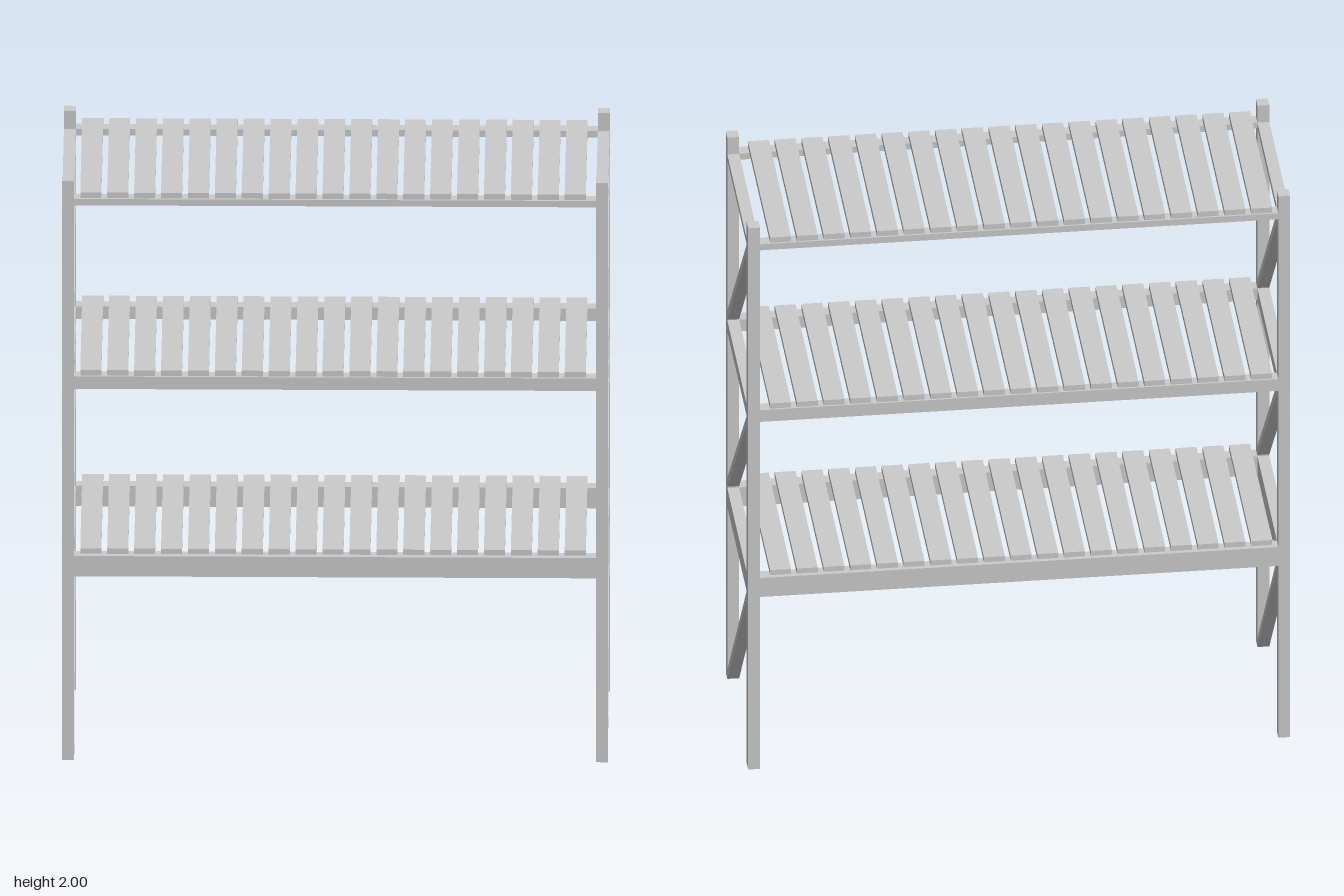
import * as THREE from 'three';

export function createModel() {
  const group = new THREE.Group();
  const material = new THREE.MeshStandardMaterial({ color: 0xcccccc, flatShading: true });
  const W = 0.867, D = 0.305;       // outer half width and half depth
  const PX = 0.038, PZ = 0.042;     // post section
  const inX = W - PX, inZ = D - PZ; // inner faces of the posts

  const add = (name, geometry, x, y, z) => {
    const mesh = new THREE.Mesh(geometry, material);
    mesh.name = name;
    mesh.position.set(x, y, z);
    group.add(mesh);
  };
  const box = (name, w, h, d, x, y, z) => add(name, new THREE.BoxGeometry(w, h, d), x, y, z);

  // Corner posts
  for (const sx of [-1, 1]) for (const sz of [-1, 1])
    box('post', PX, 2, PZ, sx * (W - PX / 2), 1, sz * (D - PZ / 2));

  // Diagonal end brace: cut upright against the posts, rising from front to back
  const brace = (x, low, high, t) => {
    const shape = new THREE.Shape([
      new THREE.Vector2(-inZ, low), new THREE.Vector2(inZ, high - t),
      new THREE.Vector2(inZ, high), new THREE.Vector2(-inZ, low + t),
    ]);
    const geometry = new THREE.ExtrudeGeometry(shape, { depth: PX, bevelEnabled: false });
    geometry.rotateY(Math.PI / 2); // shape x becomes -z, depth becomes x
    add('endBrace', geometry, x - PX / 2, 0, 0);
  };

  // Shelves: rail bottom and top, slat bottom and top, foot of the brace below
  const shelves = [
    { rail: [0.635, 0.705], slat: [0.712, 0.73], foot: 0 },
    { rail: [1.282, 1.325], slat: [1.327, 1.346], foot: 0.71 },
    { rail: [1.916, 1.938], slat: [1.94, 1.959], foot: 1.327 },
  ];
  const slatCount = 19, pitch = 0.0855, slatWidth = 0.067;
  for (const { rail: [r0, r1], slat: [s0, s1], foot } of shelves) {
    const h = r1 - r0, y = (r0 + r1) / 2;
    for (const s of [-1, 1]) {
      box('longRail', 2 * inX, h, PZ, 0, y, s * (D - PZ / 2));
      box('endRail', PX, h, 2 * inZ, s * (W - PX / 2), y, 0);
      brace(s * (W - PX / 2), foot, r0, 0.034);
    }
    // Cross slats, set slightly towards the right end
    for (let i = 0; i < slatCount; i++)
      box('slat', slatWidth, s1 - s0, 2 * D - 0.006, -0.776 + i * pitch, (s0 + s1) / 2, 0);
  }
  return group;
}
